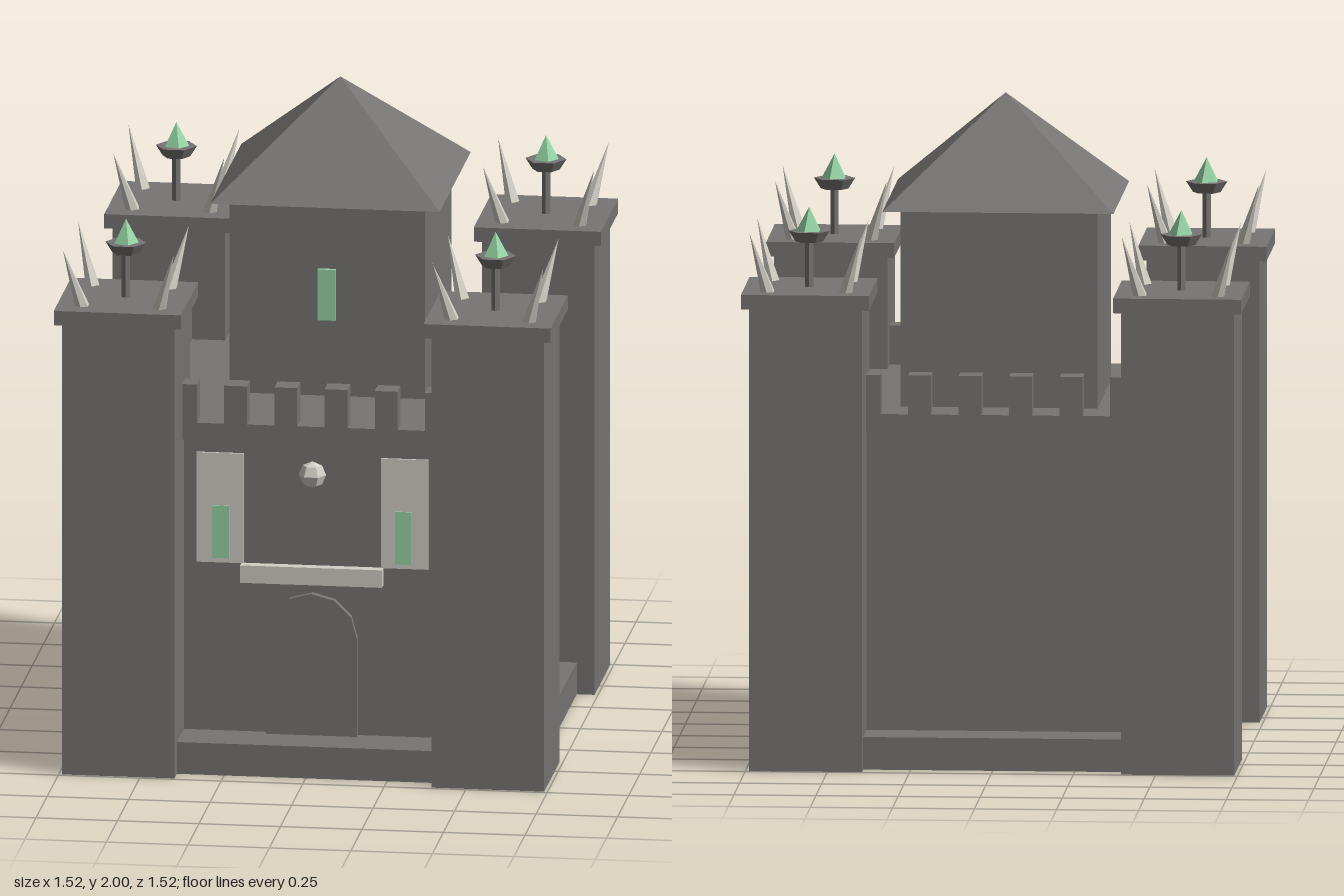
import * as THREE from 'three';

export function createModel() {
  const mat = (name, color) => {
    const m = new THREE.MeshStandardMaterial({ color, flatShading: true });
    m.name = name;
    return m;
  };
  const stone = mat('stone grey', 0x777573);
  const bone = mat('pale bone', 0xd2cfc6);
  const glow = mat('pale green', 0x97d6a7);

  const castle = new THREE.Group();
  castle.name = 'castle';

  const add = (parent, name, geometry, material, x = 0, y = 0, z = 0) => {
    const mesh = new THREE.Mesh(geometry, material);
    mesh.name = name;
    mesh.position.set(x, y, z);
    parent.add(mesh);
    return mesh;
  };
  // Box given by its centre in x and z and its bottom and top heights
  const block = (parent, name, material, w, d, y0, y1, x = 0, z = 0) =>
    add(parent, name, new THREE.BoxGeometry(w, y1 - y0, d), material, x, (y0 + y1) / 2, z);

  // Main body: plinth, walls and roof slab
  block(castle, 'plinth', stone, 1.37, 1.37, 0, 0.1);
  block(castle, 'walls', stone, 1.06, 1.06, 0.1, 1.02);
  block(castle, 'roofSlab', stone, 1.13, 1.13, 1.02, 1.075);

  // Battlements, one row per side
  for (let side = 0; side < 4; side++) {
    const row = new THREE.Group();
    row.name = 'battlement';
    row.rotation.y = side * Math.PI / 2;
    for (let i = 0; i < 6; i++) {
      block(row, 'merlon', stone, 0.07, 0.07, 1.075, 1.195, (i - 2.5) * 0.154, 0.53);
    }
    castle.add(row);
  }

  // Keep with pyramid roof, set back from the front
  block(castle, 'keep', stone, 0.6, 0.6, 1.075, 1.68, 0, -0.1);
  const roof = add(castle, 'keepRoof',
    new THREE.ConeGeometry(0.352 * Math.SQRT2, 0.32, 4), stone, 0, 1.84, -0.1);
  roof.rotation.y = Math.PI / 4;
  block(castle, 'keepWindow', glow, 0.056, 0.02, 1.315, 1.475, 0, 0.203);

  // Corner towers, each with a cap, four leaning spikes and a brazier
  const up = new THREE.Vector3(0, 1, 0);
  for (const sx of [-1, 1]) {
    for (const sz of [-1, 1]) {
      const tower = new THREE.Group();
      tower.name = 'tower';
      tower.position.set(sx * 0.567, 0, sz * 0.567);
      castle.add(tower);
      block(tower, 'towerShaft', stone, 0.345, 0.345, 0, 1.42);
      block(tower, 'towerCap', stone, 0.39, 0.39, 1.42, 1.465);

      for (const ix of [-1, 1]) {
        for (const iz of [-1, 1]) {
          const foot = new THREE.Vector3(ix * 0.118, 1.46, iz * 0.118);
          const tip = new THREE.Vector3(ix * 0.17, 1.65, iz * 0.17);
          const axis = tip.clone().sub(foot);
          const spike = add(tower, 'spike', new THREE.ConeGeometry(0.023, axis.length(), 6), bone);
          spike.position.copy(foot).add(tip).multiplyScalar(0.5);
          spike.quaternion.setFromUnitVectors(up, axis.normalize());
        }
      }

      add(tower, 'brazierPost', new THREE.CylinderGeometry(0.014, 0.014, 0.15, 6), stone, 0, 1.535, 0);
      const bowl = add(tower, 'brazierBowl',
        new THREE.CylinderGeometry(0.063, 0.042, 0.033, 6), stone, 0, 1.62, 0);
      bowl.rotation.y = Math.PI / 2;
      const flame = add(tower, 'flame', new THREE.ConeGeometry(0.04, 0.075, 5), glow, 0, 1.673, 0);
      flame.rotation.y = Math.PI / 2;
    }
  }

  // Arched door
  const arch = new THREE.Shape();
  arch.moveTo(-0.14, 0.1);
  arch.lineTo(0.14, 0.1);
  for (let i = 0; i <= 6; i++) {
    const a = i * Math.PI / 6;
    arch.lineTo(0.14 * Math.cos(a), 0.405 + 0.14 * Math.sin(a));
  }
  add(castle, 'door',
    new THREE.ExtrudeGeometry(arch, { depth: 0.025, bevelEnabled: false }), stone, 0, 0, 0.528);

  // Pale panels with green windows, lintel and round boss above the door
  for (const s of [-1, 1]) {
    block(castle, 'panel', bone, 0.145, 0.008, 0.63, 0.975, s * 0.283, 0.533);
    block(castle, 'panelWindow', glow, 0.052, 0.008, 0.645, 0.81, s * 0.28, 0.537);
  }
  block(castle, 'lintel', bone, 0.435, 0.035, 0.575, 0.63, 0, 0.545);
  add(castle, 'boss', new THREE.SphereGeometry(0.042, 6, 4), bone, 0, 0.915, 0.53);

  return castle;
}
